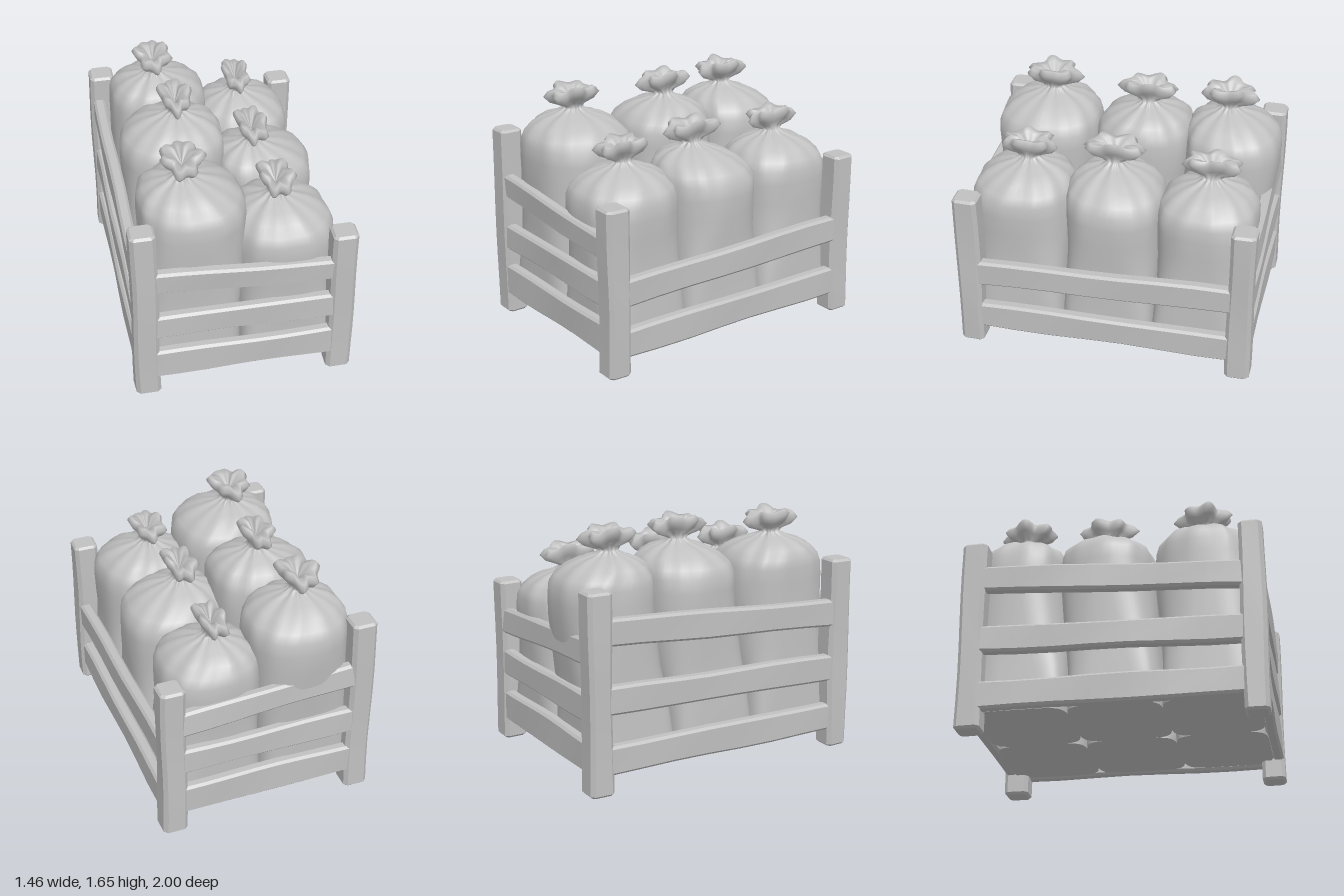
import * as THREE from 'three';
import { toCreasedNormals } from 'three/addons/utils/BufferGeometryUtils.js';

const { lerp, smoothstep } = THREE.MathUtils;
const grey = new THREE.MeshStandardMaterial({ color: 0xc0c0c0 });
grey.name = 'plainGrey';

// Rough-hewn timber with chamfered edges, running from point a to point b
function timber(name, a, b, height, thickness, seed, bevel = 0) {
  const start = new THREE.Vector3(...a), end = new THREE.Vector3(...b);
  const len = start.distanceTo(end);
  const w = thickness / 2 - bevel, h = height / 2 - bevel, c = 0.016;
  const shape = new THREE.Shape([
    [w - c, -h], [w, -h + c], [w, h - c], [w - c, h],
    [-w + c, h], [-w, h - c], [-w, -h + c], [-w + c, -h],
  ].map(([x, y]) => new THREE.Vector2(x, y)));
  const geo = new THREE.ExtrudeGeometry(shape, {
    depth: len - 2 * bevel, steps: 7, bevelEnabled: bevel > 0,
    bevelSize: bevel, bevelThickness: bevel, bevelSegments: 1,
  });
  geo.translate(0, 0, -len / 2 + bevel);
  // Gentle unevenness along the length
  const p = geo.attributes.position;
  for (let i = 0; i < p.count; i++) {
    const x = p.getX(i), y = p.getY(i), z = p.getZ(i);
    p.setX(i, x + 0.004 * Math.sin(z * 6 + seed + y * 9));
    p.setY(i, y + 0.004 * Math.sin(z * 5 + seed * 2.3 + (y > 0 ? 0 : 2)));
  }
  const mesh = new THREE.Mesh(toCreasedNormals(geo, 0.5), grey);
  mesh.name = name;
  mesh.position.copy(start).add(end).multiplyScalar(0.5);
  mesh.quaternion.setFromUnitVectors(new THREE.Vector3(0, 0, 1), end.sub(start).normalize());
  return mesh;
}

// Tied sack: stacked rings for the body, pleated shoulder, neck and ruffled top
function sack(name, { cellX, cellZ, x, z, hx, hz, neck, knotX, knotZ, kx, kz, seed }) {
  const base = 0.14, N = 64;
  // [height, radius factor, pleat depth, 0 = body .. 1 = ruffle]
  const rows = [
    [base, 0, 0, 0], [base, 1, 0, 0], [base, 1, 0, 0], [base + 0.05, 1.01, 0, 0],
    [0.3, 1, 0, 0], [0.45, 0.98, 0, 0], [0.6, 0.97, 0, 0], [0.73, 0.97, 0, 0],
    [neck - 0.4, 0.99, 0, 0], [neck - 0.27, 1, 0.005, 0], [neck - 0.18, 0.985, 0.01, 0],
    [neck - 0.12, 0.93, 0.016, 0], [neck - 0.065, 0.78, 0.03, 0], [neck - 0.025, 0.56, 0.06, 0],
    [neck, 0.32, 0.1, 0], [neck + 0.025, 0.18, 0.12, 0],
    [neck + 0.06, 0.45, 0.08, 1], [neck + 0.1, 0.8, 0.1, 1], [neck + 0.15, 1, 0.12, 1],
    [neck + 0.18, 0.84, 0.13, 1], [neck + 0.165, 0.5, 0.12, 1], [neck + 0.08, 0, 0, 1],
  ];
  const pos = [], index = [];
  rows.forEach(([y, r, pleat, top], i) => {
    // The foot is pressed square into its share of the crate, the shoulder is
    // round, and the centre drifts to the knot
    const up = smoothstep(y, 0.2, neck - 0.3);
    const t = smoothstep(y, neck - 0.2, neck + 0.02);
    const cx = lerp(lerp(cellX, x, up), knotX, t), cz = lerp(lerp(cellZ, z, up), knotZ, t);
    const rx = top ? kx : lerp(0.318, hx, up), rz = top ? kz : lerp(0.308, hz, up);
    const squareness = lerp(lerp(0.35, 0.8, up), 1, t);
    for (let j = 0; j < N; j++) {
      const a = (j / N) * Math.PI * 2, c = Math.cos(a), s = Math.sin(a);
      const folds = top ? Math.sin(7 * a + seed) + 0.6 * Math.sin(4 * a + seed * 3)
        : Math.sin(12 * a + seed) + 0.6 * Math.sin(7 * a + seed * 2);
      const bulge = top || i < 3 ? 0 : 0.01 * (1 - t) * Math.sin(3 * a + y * 7 + seed);
      const k = r * (1 + pleat * folds + bulge);
      const lift = top && r > 0.4 ? r * (0.014 * Math.sin(5 * a + seed) - 0.035 * s * s) : 0;
      pos.push(
        cx + Math.sign(c) * Math.abs(c) ** squareness * rx * k,
        y + lift,
        cz + Math.sign(s) * Math.abs(s) ** squareness * rz * k,
      );
      if (i < rows.length - 1) {
        const p = i * N + j, q = i * N + (j + 1) % N;
        index.push(p, p + N, q, q, p + N, q + N);
      }
    }
  });
  const geo = new THREE.BufferGeometry();
  geo.setAttribute('position', new THREE.Float32BufferAttribute(pos, 3));
  geo.setIndex(index);
  geo.computeVertexNormals();
  const mesh = new THREE.Mesh(geo, grey);
  mesh.name = name;
  return mesh;
}

export function createModel() {
  const model = new THREE.Group();
  model.name = 'crateOfSacks';

  // Corner posts, taller on the right-hand side
  const crate = new THREE.Group();
  crate.name = 'crate';
  for (const sx of [-1, 1]) for (const sz of [-1, 1]) {
    const side = sx > 0 ? 'left' : 'right', end = sz > 0 ? 'Front' : 'Back';
    crate.add(timber(`${side}${end}Post`, [sx * 0.642, 0.005, sz * 0.911],
      [sx * 0.642, sx > 0 ? 1.13 : 1.32, sz * 0.911], 0.162, 0.165, sx + 2 * sz, 0.015));
  }

  // Front and back rails: [height at right, height at left, width]
  for (const sz of [-1, 1]) {
    [[0.25, 0.25, 0.215], [0.57, 0.56, 0.18], [0.935, 0.855, 0.165]].forEach(([yr, yl, h], i) =>
      crate.add(timber(`${sz > 0 ? 'front' : 'back'}Rail${i + 1}`,
        [-0.6, yr, sz * 0.945], [0.6, yl, sz * 0.945], h, 0.075, i + sz * 2)));
  }

  // Side rails: [side, height at back, height at front, width]
  [[1, 0.23, 0.22, 0.19], [1, 0.61, 0.56, 0.18],
    [-1, 0.23, 0.22, 0.19], [-1, 0.62, 0.57, 0.18], [-1, 1.06, 0.95, 0.18],
  ].forEach(([sx, yb, yf, h], i) =>
    crate.add(timber(`${sx > 0 ? 'left' : 'right'}SideRail${i + 1}`,
      [sx * 0.672, yb, -0.87], [sx * 0.672, yf, 0.87], h, 0.08, i * 1.7)));
  model.add(crate);

  // Two rows of three sacks, front to back
  const sacks = new THREE.Group();
  sacks.name = 'sacks';
  [
    { x: -0.28, z: 0.59, hx: 0.345, hz: 0.35, neck: 1.455, knotX: -0.33, knotZ: 0.58, kx: 0.13, kz: 0.18 },
    { x: -0.28, z: -0.08, hx: 0.345, hz: 0.325, neck: 1.465, knotX: -0.25, knotZ: -0.1, kx: 0.1, kz: 0.19 },
    { x: -0.28, z: -0.68, hx: 0.33, hz: 0.32, neck: 1.455, knotX: -0.31, knotZ: -0.64, kx: 0.12, kz: 0.18 },
    { x: 0.3, z: 0.615, hx: 0.33, hz: 0.34, neck: 1.24, knotX: 0.27, knotZ: 0.59, kx: 0.11, kz: 0.18 },
    { x: 0.315, z: -0.01, hx: 0.33, hz: 0.325, neck: 1.26, knotX: 0.24, knotZ: 0.02, kx: 0.1, kz: 0.2 },
    { x: 0.3, z: -0.625, hx: 0.325, hz: 0.33, neck: 1.24, knotX: 0.27, knotZ: -0.63, kx: 0.09, kz: 0.19 },
  ].forEach((o, i) => sacks.add(sack(`sack${i + 1}`, {
    ...o, cellX: i < 3 ? -0.315 : 0.315, cellZ: 0.61 * (1 - (i % 3)), seed: i * 1.9 + 0.4,
  })));
  model.add(sacks);

  return model;
}
